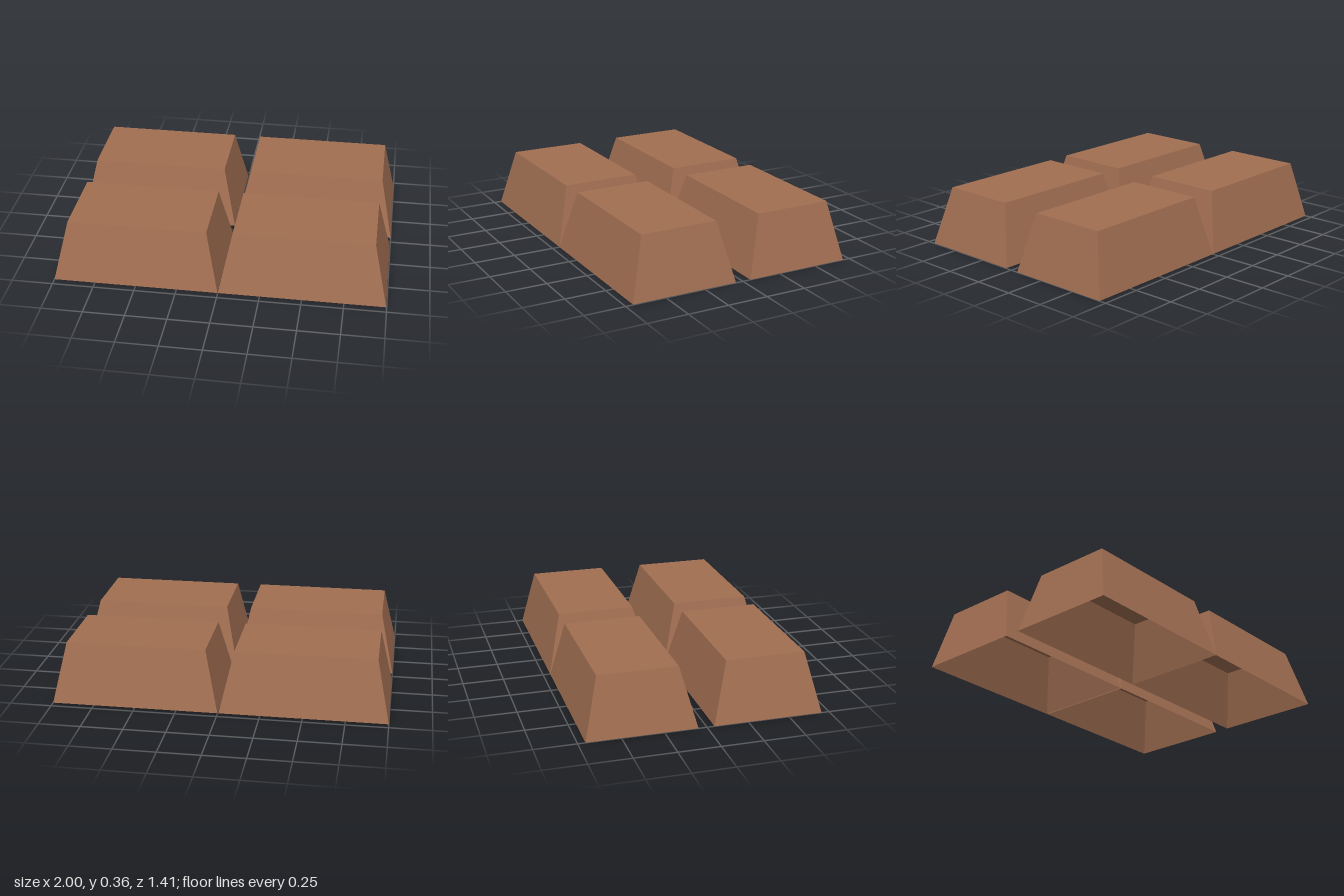
import * as THREE from 'three';

const HEIGHT = 0.362;

// Hollow tapered block, open underneath: base and top are [x0, x1, z0, z1]
function taperedBlock(base, top) {
  const geometry = new THREE.BoxGeometry(1, 1, 1);
  const p = geometry.attributes.position;
  for (let i = 0; i < p.count; i++) {
    const upper = p.getY(i) > 0;
    const r = upper ? top : base;
    p.setXYZ(i, r[p.getX(i) > 0 ? 1 : 0], upper ? HEIGHT : 0, r[p.getZ(i) > 0 ? 3 : 2]);
  }
  // Drop the underside (fourth face of the box)
  const index = Array.from(geometry.index.array);
  index.splice(18, 6);
  geometry.setIndex(index);
  geometry.clearGroups();
  geometry.computeVertexNormals();
  return geometry;
}

export function createModel() {
  const group = new THREE.Group();
  group.name = 'fourBlocks';
  const brown = new THREE.MeshStandardMaterial({ color: 0xa26f52, side: THREE.DoubleSide });
  brown.name = 'brown';

  // Four blocks in two rows, each very slightly different
  const blocks = [
    ['backRightBlock', [-1, -0.005, -0.705, -0.05], [-0.922, -0.086, -0.62, -0.145]],
    ['backLeftBlock', [0.002, 1, -0.705, -0.05], [0.085, 0.922, -0.62, -0.145]],
    ['frontRightBlock', [-1, -0.002, 0.045, 0.703], [-0.917, -0.08, 0.136, 0.612]],
    ['frontLeftBlock', [0, 0.997, 0.045, 0.703], [0.075, 0.912, 0.131, 0.607]],
  ];
  for (const [name, base, top] of blocks) {
    const mesh = new THREE.Mesh(taperedBlock(base, top), brown);
    mesh.name = name;
    group.add(mesh);
  }
  return group;
}
